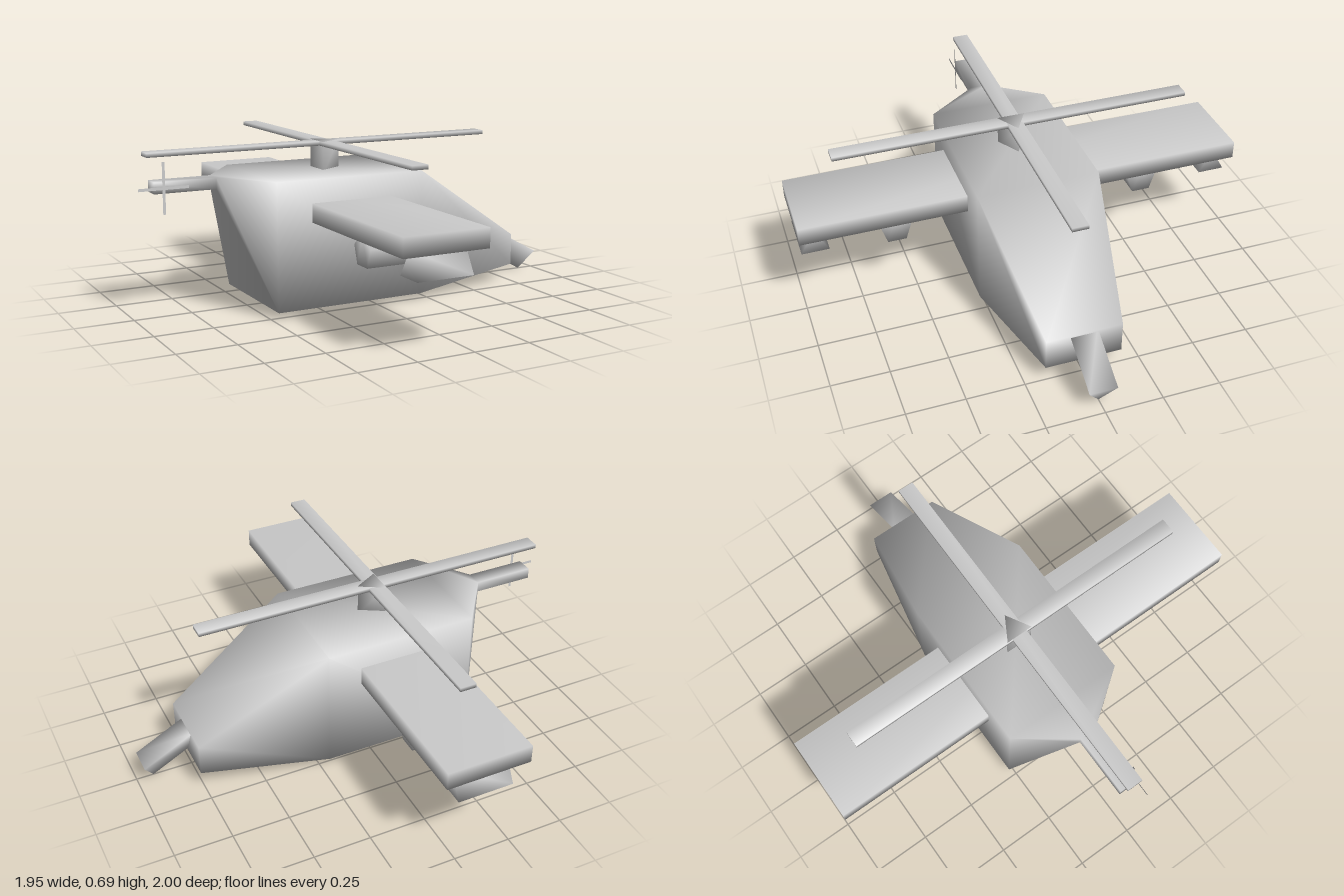
import * as THREE from 'three';

const grey = new THREE.MeshStandardMaterial({ color: 0xcccccc });
const greyThin = new THREE.MeshStandardMaterial({ color: 0xcccccc, side: THREE.DoubleSide });

// Skin along +x through sections [x, [[y, z], ...]], with capped ends and shared smooth normals.
function loft(sections) {
  const n = sections[0][1].length;
  const last = (sections.length - 1) * n;
  const positions = sections.flatMap(([x, loop]) => loop.flatMap(([y, z]) => [x, y, z]));
  const index = [];
  for (let s = 0; s < last; s += n) {
    for (let i = 0; i < n; i++) {
      const j = (i + 1) % n;
      index.push(s + i, s + j, s + n + j, s + i, s + n + j, s + n + i);
    }
  }
  for (let i = 1; i < n - 1; i++) {
    index.push(0, i + 1, i, last, last + i, last + i + 1);
  }
  const geometry = new THREE.BufferGeometry();
  geometry.setAttribute('position', new THREE.Float32BufferAttribute(positions, 3));
  geometry.setIndex(index);
  geometry.computeVertexNormals();
  return geometry;
}

const rect = (low, high, w) => [[high, w], [low, w], [low, -w], [high, -w]];

const polygon = (sides, radius, turn = 0) => Array.from({ length: sides }, (_, i) => {
  const a = turn + (i / sides) * Math.PI * 2;
  return [Math.cos(a) * radius, Math.sin(a) * radius];
});

const bar = (x0, x1, loop) => loft([[x0, loop], [x1, loop]]);

export function createModel() {
  const model = new THREE.Group();
  const add = (name, geometry, x = 0, y = 0, z = 0, material = grey) => {
    const mesh = new THREE.Mesh(geometry, material);
    mesh.name = name;
    mesh.position.set(x, y, z);
    model.add(mesh);
    return mesh;
  };

  // Fuselage: slim tail boom opening into a boxy cabin and tapering to the nose
  add('fuselage', loft([
    [-0.91, rect(0.525, 0.573, 0.037)],
    [-0.642, rect(0.525, 0.573, 0.037)],
    [-0.472, rect(0.03, 0.573, 0.27)],
    [0.205, rect(0.03, 0.573, 0.27)],
    [0.76, rect(0.077, 0.217, 0.165)],
  ]));

  // Stub wings, one slab through the cabin
  add('wings', bar(-0.317, 0.057, rect(0.395, 0.475, 1)));

  // Pods hung below each wing
  for (const side of [1, -1]) {
    add('innerPod', bar(-0.25, -0.005, polygon(5, 0.07)), 0, 0.325, side * 0.575);
    add('outerPod', bar(-0.25, -0.005, polygon(3, 0.07)), 0, 0.333, side * 0.93);
  }

  // Main rotor: three-sided mast and two crossed blades
  add('rotorMast', bar(0, 0.145, polygon(3, 0.07, Math.PI)), -0.127, 0.55, 0).rotation.z = Math.PI / 2;
  for (const turn of [0, Math.PI / 2]) {
    add('rotorBlade', bar(-0.806, 0.806, rect(-0.009, 0.009, 0.035)), -0.13, 0.684, 0).rotation.y = turn;
  }

  // Tail rotor: two thin crossed blades beside the boom
  for (const turn of [0, Math.PI / 2]) {
    add('tailRotorBlade', new THREE.PlaneGeometry(0.215, 0.012), -0.872, 0.548, 0.048, greyThin).rotation.z = turn;
  }

  // Three-sided gun pointing down from the nose
  add('noseGun', bar(-0.26, 0, polygon(3, 0.07, Math.PI)), 0.957, 0.064, 0).rotation.z = -0.49;

  return model;
}
